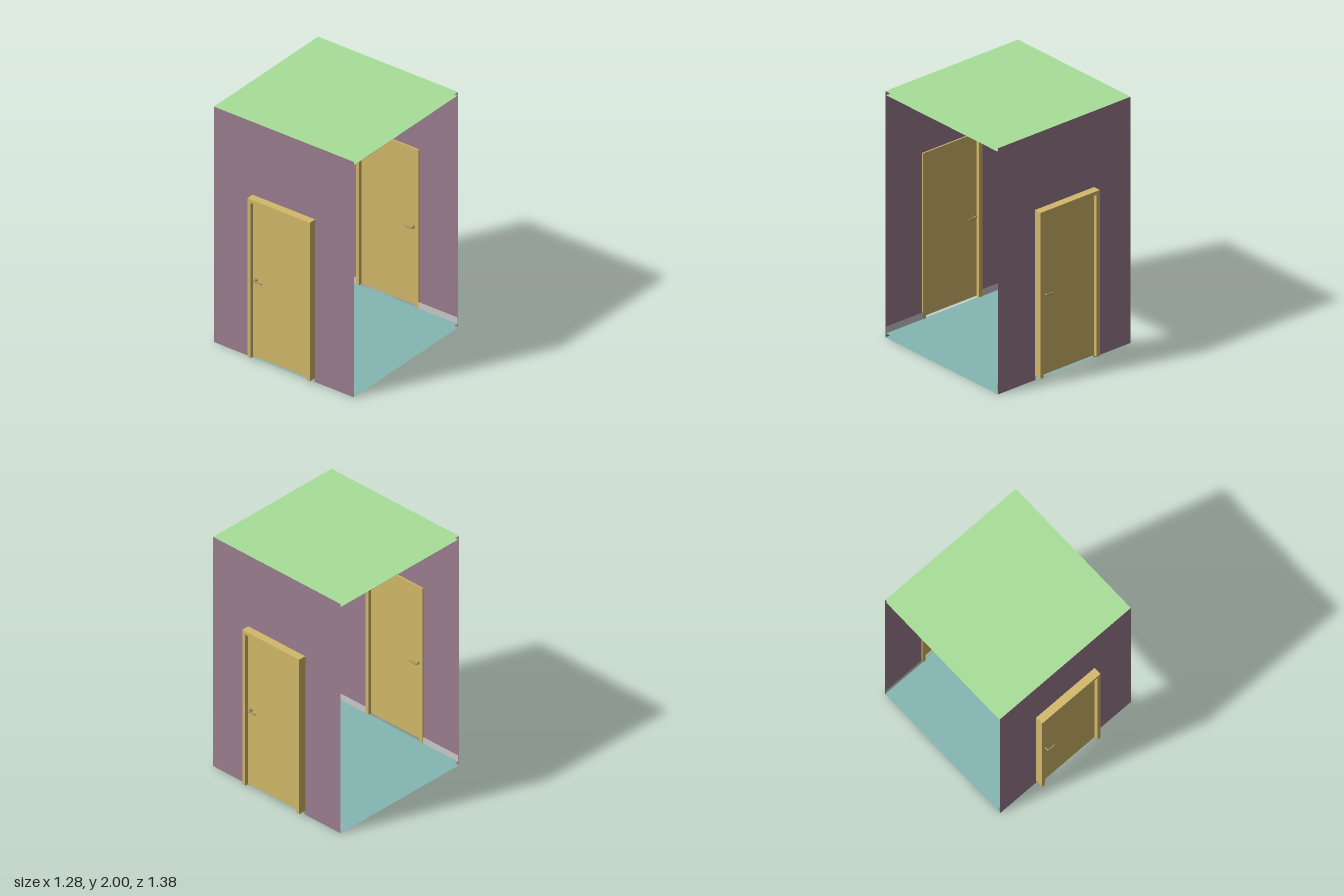
import * as THREE from 'three';

const W = 1.284, D = 1.246, H = 2;      // outer shell
const FLOOR = 0.035, CEILING = 1.97;    // inner floor and dropped ceiling
const WALL_Z = 0.623, DOOR_Z = 0.648;

const paint = (color) => new THREE.MeshStandardMaterial({ color, side: THREE.DoubleSide });
const mats = {
  wall: paint(0x9c7e90),
  roof: paint(0xa8e098),
  floor: paint(0x84b6b2),
  wood: paint(0xd4b96a),
  handle: paint(0xa09060),
  grey: paint(0xcccccc),
};

function add(parent, name, geometry, material, x = 0, y = 0, z = 0) {
  const mesh = new THREE.Mesh(geometry, material);
  mesh.name = name;
  mesh.position.set(x, y, z);
  parent.add(mesh);
  return mesh;
}

const box = (parent, name, mat, w, h, d, x, y, z) =>
  add(parent, name, new THREE.BoxGeometry(w, h, d), mat, x, y, z);

function slab(parent, name, w, d, y, material) {
  add(parent, name, new THREE.PlaneGeometry(w, d).rotateX(-Math.PI / 2), material, 0, y, 0);
}

// Upside-down U outline: a rectangle with a doorway cut from its bottom edge
function archShape(halfW, bottom, top, innerHalfW, innerTop) {
  return new THREE.Shape([
    [-halfW, bottom], [-innerHalfW, bottom], [-innerHalfW, innerTop], [innerHalfW, innerTop],
    [innerHalfW, bottom], [halfW, bottom], [halfW, top], [-halfW, top],
  ].map(([x, y]) => new THREE.Vector2(x, y)));
}

// Lever handle pointing toward +x; side is +1 outside, -1 inside
function leverHandle(side) {
  const g = new THREE.Group();
  g.name = side > 0 ? 'outerHandle' : 'innerHandle';
  const rod = (name, r, len, z) =>
    add(g, name, new THREE.CylinderGeometry(r, r, len, 16).rotateX(Math.PI / 2), mats.handle, 0, 0, side * z);
  rod('rose', 0.013, 0.005, 0.011);
  rod('spindle', 0.006, 0.03, 0.025);
  add(g, 'lever', new THREE.CapsuleGeometry(0.006, 0.066, 4, 12).rotateZ(Math.PI / 2),
    mats.handle, 0.032, 0, side * 0.037);
  g.position.set(-0.226, 0.696, DOOR_Z);
  return g;
}

// End wall with its door, frame and skirting, facing +z
function endWall() {
  const g = new THREE.Group();
  add(g, 'wall', new THREE.ShapeGeometry(archShape(W / 2, 0, H, 0.28, 1.37)), mats.wall, 0, 0, WALL_Z);

  const frame = new THREE.ExtrudeGeometry(archShape(0.287, FLOOR, 1.382, 0.257, 1.352),
    { depth: 0.076, bevelEnabled: false });
  add(g, 'doorFrame', frame, mats.wood, 0, 0, 0.611);

  // Door leaf leaves a narrow gap under the frame head
  box(g, 'doorLeaf', mats.wood, 0.514, 1.304, 0.018, 0, 0.692, DOOR_Z);
  g.add(leverHandle(1), leverHandle(-1));

  // Skirting on the inside face, either side of the door
  const skirtW = W / 2 - 0.287;
  for (const s of [-1, 1]) {
    add(g, 'skirting', new THREE.PlaneGeometry(skirtW, 0.055), mats.grey,
      s * (0.287 + skirtW / 2), FLOOR + 0.0275, 0.614);
  }
  return g;
}

// Dropped ceiling with a square opening and grid bars
function ceiling() {
  const g = new THREE.Group();
  g.name = 'ceiling';
  const panel = new THREE.Shape();
  const rect = (path, hw, hd) => path.moveTo(-hw, -hd).lineTo(hw, -hd).lineTo(hw, hd).lineTo(-hw, hd).closePath();
  rect(panel, W / 2, 0.613);
  const hole = new THREE.Path();
  rect(hole, 0.2, 0.2);
  panel.holes.push(hole);
  add(g, 'ceilingPanel', new THREE.ExtrudeGeometry(panel, { depth: 0.002, bevelEnabled: false })
    .rotateX(-Math.PI / 2), mats.roof, 0, CEILING, 0);
  for (const s of [-1, 1]) {
    box(g, 'gridBar', mats.roof, 0.008, 0.002, 1.226, s * 0.305, CEILING - 0.001, 0);
    box(g, 'gridBar', mats.roof, W / 2 - 0.203, 0.002, 0.008, s * (W / 2 + 0.203) / 2, CEILING - 0.001, 0);
  }
  return g;
}

// Ceiling vent: tapered housing, flange and a staggered grille
function vent() {
  const g = new THREE.Group();
  g.name = 'vent';
  const housing = new THREE.CylinderGeometry(0.199 * Math.SQRT2, 0.205 * Math.SQRT2, 0.03, 4, 1, true)
    .rotateY(Math.PI / 4).toNonIndexed();
  housing.computeVertexNormals();
  add(g, 'ventHousing', housing, mats.grey, 0, 1.982, 0);
  slab(g, 'ventBack', 0.398, 0.398, 1.996, mats.grey);
  for (const s of [-1, 1]) {
    box(g, 'ventFlange', mats.grey, 0.41, 0.005, 0.015, 0, 1.967, s * 0.1975);
    box(g, 'ventFlange', mats.grey, 0.015, 0.005, 0.38, s * 0.1975, 1.967, 0);
  }
  const rows = 12, pitch = 0.38 / rows;
  for (let i = 0; i < rows; i++) {
    const z = -0.19 + (i + 0.5) * pitch;
    box(g, 'ventSlat', mats.grey, 0.38, 0.004, pitch * 0.4, 0, 1.968, z + pitch / 2);
    for (let j = 0; j < 4; j++) {
      const x = -0.155 + j * 0.09 + (i % 2) * 0.045;
      box(g, 'ventBridge', mats.grey, 0.012, 0.004, pitch * 0.6, x, 1.968, z);
    }
  }
  return g;
}

export function createModel() {
  const model = new THREE.Group();
  model.name = 'corridorRoom';

  slab(model, 'roof', W, D, H, mats.roof);
  slab(model, 'base', W, D, 0, mats.floor);
  slab(model, 'floor', W, D - 0.01, FLOOR, mats.floor);

  const front = endWall();
  front.name = 'frontWall';
  const back = endWall();
  back.name = 'backWall';
  back.rotation.y = Math.PI;
  model.add(front, back, ceiling(), vent());
  return model;
}
